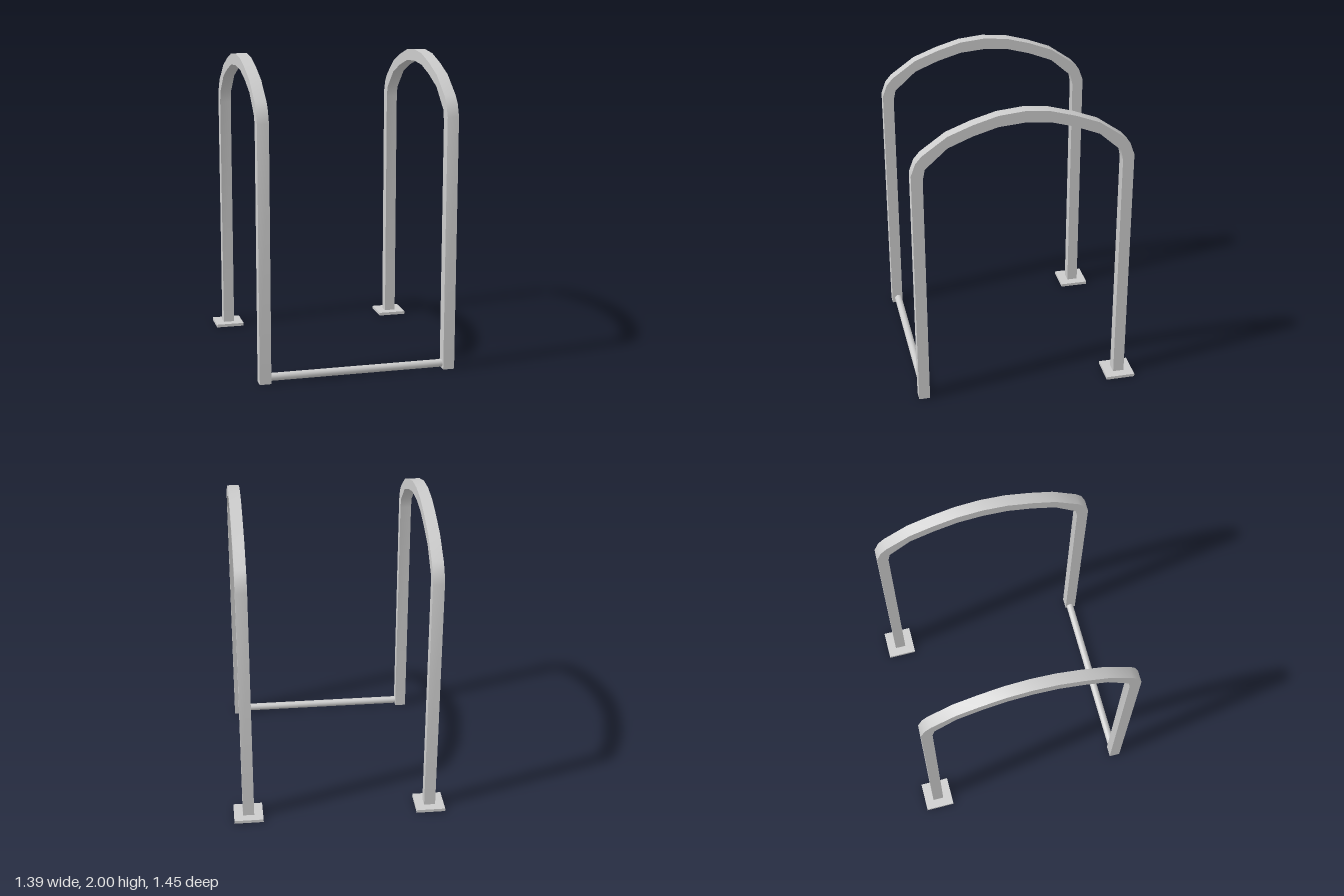
import * as THREE from 'three';
import { toCreasedNormals } from 'three/addons/utils/BufferGeometryUtils.js';

const RAIL_X = 0.602, HALF_W = 0.037, MID_Z = 0.03;

// Half of the hoop: [outer z, outer y, inner z, inner y], z measured from the hoop's middle
const HALF_HOOP = [
  [0.697, 0, 0.625, 0],
  [0.697, 1.64, 0.625, 1.607],
  [0.668, 1.72, 0.611, 1.677],
  [0.628, 1.767, 0.611, 1.677],
  [0.47, 1.88, 0.47, 1.804],
  [0.315, 1.94, 0.315, 1.867],
  [0.16, 1.985, 0.16, 1.912],
];

// Square tube swept along the hoop, open at the feet
function hoopGeometry() {
  const back = HALF_HOOP.map(([oz, oy, iz, iy]) => [-oz, oy, -iz, iy]).reverse();
  const stations = [...HALF_HOOP, [0, 2, 0, 1.925], ...back];
  const positions = [], indices = [];
  stations.forEach(([oz, oy, iz, iy], s) => {
    positions.push(
      -HALF_W, oy, oz + MID_Z, HALF_W, oy, oz + MID_Z,
      HALF_W, iy, iz + MID_Z, -HALF_W, iy, iz + MID_Z);
    if (s === 0) return;
    for (let k = 0; k < 4; k++) {
      const a = (s - 1) * 4 + k, b = (s - 1) * 4 + (k + 1) % 4;
      indices.push(a, b, b + 4, a, b + 4, a + 4);
    }
  });
  const geometry = new THREE.BufferGeometry();
  geometry.setAttribute('position', new THREE.Float32BufferAttribute(positions, 3));
  geometry.setIndex(indices);
  return toCreasedNormals(geometry, 0.7);
}

export function createModel() {
  const group = new THREE.Group();
  const material = new THREE.MeshStandardMaterial({ color: 0xcccccc });
  const tubeMaterial = new THREE.MeshStandardMaterial({ color: 0xcccccc, side: THREE.DoubleSide });

  const add = (name, geometry, mat, x, y, z) => {
    const mesh = new THREE.Mesh(geometry, mat);
    mesh.name = name;
    mesh.position.set(x, y, z);
    group.add(mesh);
    return mesh;
  };

  // Arched rails, each with a floor plate under the back leg
  const hoop = hoopGeometry();
  const plate = new THREE.BoxGeometry(0.191, 0.02, 0.191);
  for (const [side, sign] of [['left', 1], ['right', -1]]) {
    add(side + 'Hoop', hoop, tubeMaterial, sign * RAIL_X, 0, 0);
    add(side + 'FootPlate', plate, material, sign * RAIL_X, 0.01, -0.63);
  }

  // Round bar joining the front legs
  const barLength = 2 * (RAIL_X - HALF_W);
  const bar = add('crossBar', new THREE.CylinderGeometry(0.025, 0.025, barLength, 20, 1, true),
    tubeMaterial, 0, 0.033, 0.685);
  bar.rotation.z = Math.PI / 2;

  return group;
}
